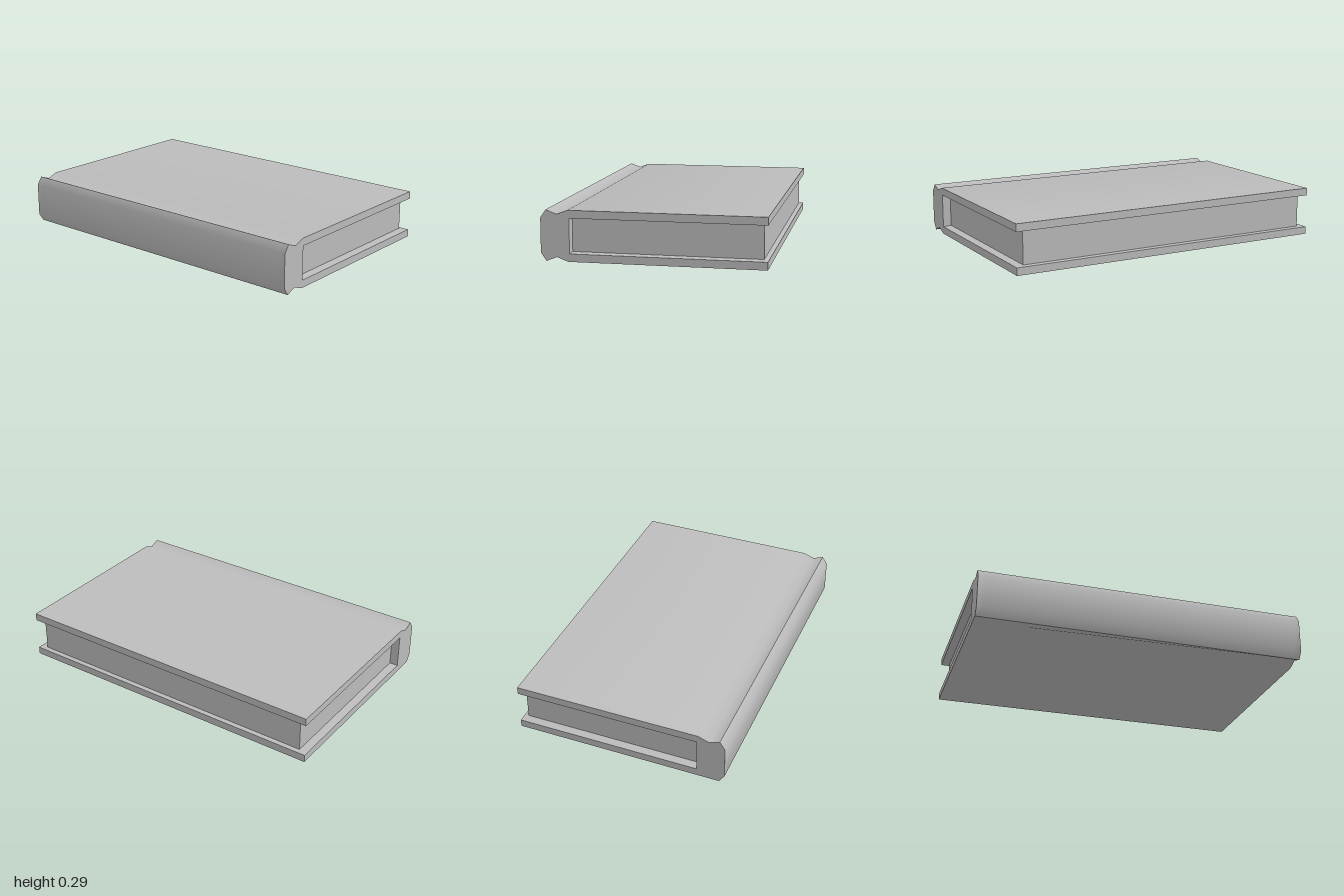
import * as THREE from 'three';
import { toCreasedNormals } from 'three/addons/utils/BufferGeometryUtils.js';

// Cross-section of the binding at depth z, anticlockwise seen from the front
function coverProfile(z) {
  const groove = 0.025 * (z + 1) / 2;            // lower hinge groove fades out towards the back
  const atEnd = Math.abs(z) > 0.96;
  const lift = atEnd ? 0.004 : 0;                // slot opens slightly at its rim
  const lo = 0.05 - lift, hi = 0.245 + lift, back = -0.473 - lift;
  return [
    [-0.645, 0.048], [-0.613, 0], [-0.55, groove], [-0.485, 0],
    [0.645, 0], [0.645, 0.046], [0.62, lo], [back, lo],
    [back, hi], [0.62, hi], [0.645, 0.249], [0.645, 0.295],
    [-0.485, 0.295], [-0.55, 0.271], [-0.613, 0.295], [-0.645, 0.248],
  ].map(([x, y]) => new THREE.Vector3(x, y, z));
}

// Loft the cross-sections front to back and cap both ends
function coverGeometry() {
  const sections = [1, 0.95, -0.95, -1].map(coverProfile);
  const pos = [];
  const tri = (...pts) => pts.forEach((p) => pos.push(p.x, p.y, p.z));
  for (let s = 0; s < sections.length - 1; s++) {
    const f = sections[s], b = sections[s + 1];
    f.forEach((p, i) => {
      const j = (i + 1) % f.length;
      tri(p, b[i], b[j]);
      tri(p, b[j], f[j]);
    });
  }
  const first = sections[0], last = sections[sections.length - 1];
  const faces = THREE.ShapeUtils.triangulateShape(first.map((p) => new THREE.Vector2(p.x, p.y)), []);
  for (const [a, b, c] of faces) {
    tri(first[a], first[b], first[c]);
    tri(last[a], last[c], last[b]);
  }
  const geo = new THREE.BufferGeometry();
  geo.setAttribute('position', new THREE.Float32BufferAttribute(pos, 3));
  return toCreasedNormals(geo, 0.8);
}

export function createModel() {
  const grey = new THREE.MeshStandardMaterial({ color: 0xbcbcbc });
  grey.name = 'grey';
  const book = new THREE.Group();
  book.name = 'book';

  // Spine and both boards in one piece
  const cover = new THREE.Mesh(coverGeometry(), grey);
  cover.name = 'cover';

  // Page block, set back from the three open edges
  const pages = new THREE.Mesh(new THREE.BoxGeometry(1.095, 0.197, 1.9), grey);
  pages.name = 'pages';
  pages.position.set(0.0705, 0.1475, 0);

  book.add(cover, pages);
  return book;
}
